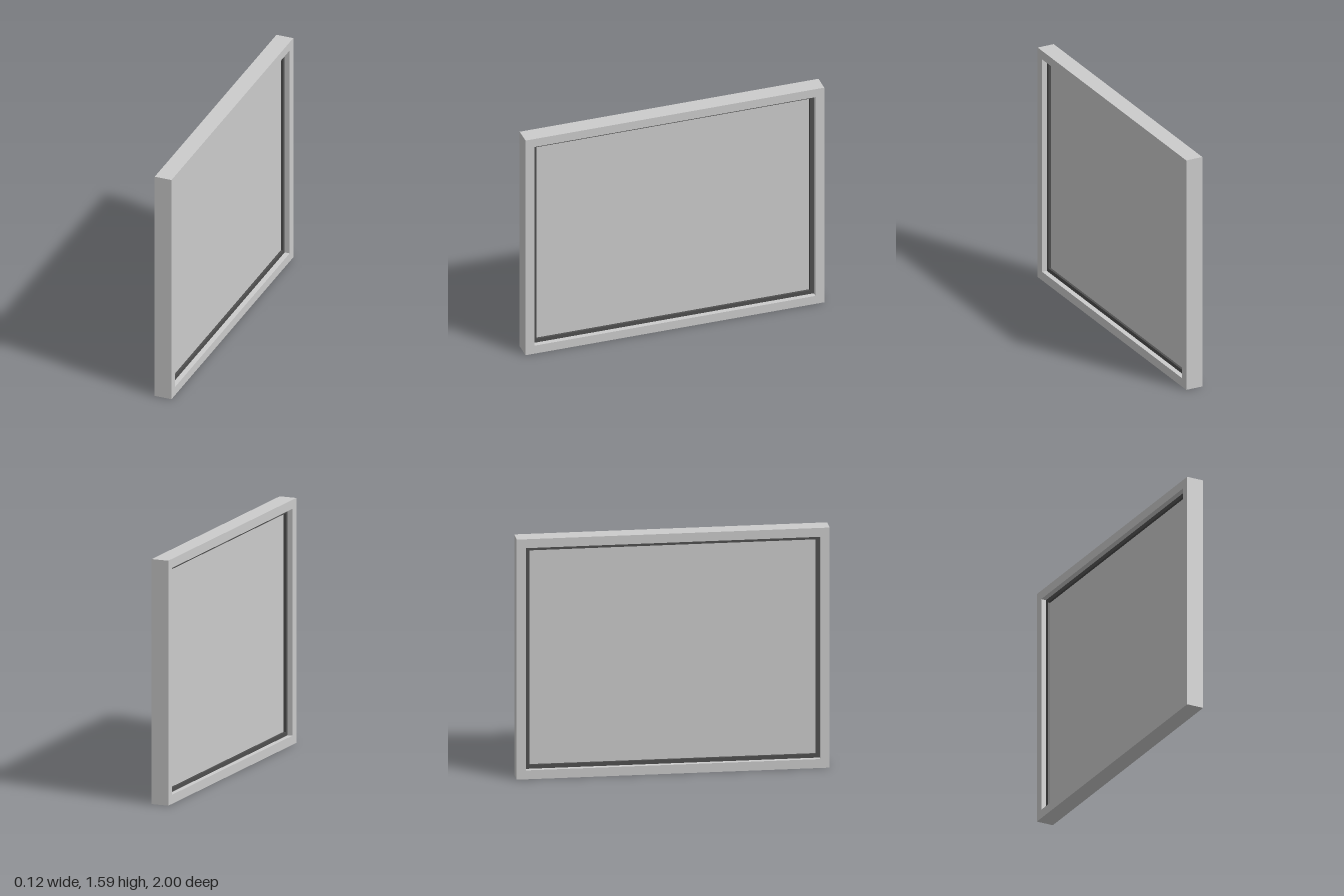
import * as THREE from 'three';

const HEIGHT = 1.59;
const grey = new THREE.MeshStandardMaterial({ color: 0xcccccc });
const rubber = new THREE.MeshStandardMaterial({ color: 0x4f4f4f });

// Traces a rectangle lying a given margin inside the outer outline
function outline(path, margin) {
  const w = 1 - margin, lo = margin, hi = HEIGHT - margin;
  path.moveTo(-w, lo);
  path.lineTo(w, lo);
  path.lineTo(w, hi);
  path.lineTo(-w, hi);
  path.closePath();
  return path;
}

// Rectangular ring (or a solid slab without an inner margin), centred on x = 0
function ring(name, material, depth, outer, inner) {
  const shape = outline(new THREE.Shape(), outer);
  if (inner !== undefined) shape.holes.push(outline(new THREE.Path(), inner));
  const geometry = new THREE.ExtrudeGeometry(shape, { depth, bevelEnabled: false });
  geometry.translate(0, 0, -depth / 2);
  geometry.rotateY(Math.PI / 2);
  const mesh = new THREE.Mesh(geometry, material);
  mesh.name = name;
  return mesh;
}

export function createModel() {
  const model = new THREE.Group();
  model.name = 'window';
  model.add(
    ring('frame', grey, 0.115, 0, 0.059), // outer frame
    ring('gasket', rubber, 0.047, 0.059, 0.085), // dark seal recessed in the frame
    ring('pane', grey, 0.016, 0.085), // thin sheet held by the seal
  );
  return model;
}
